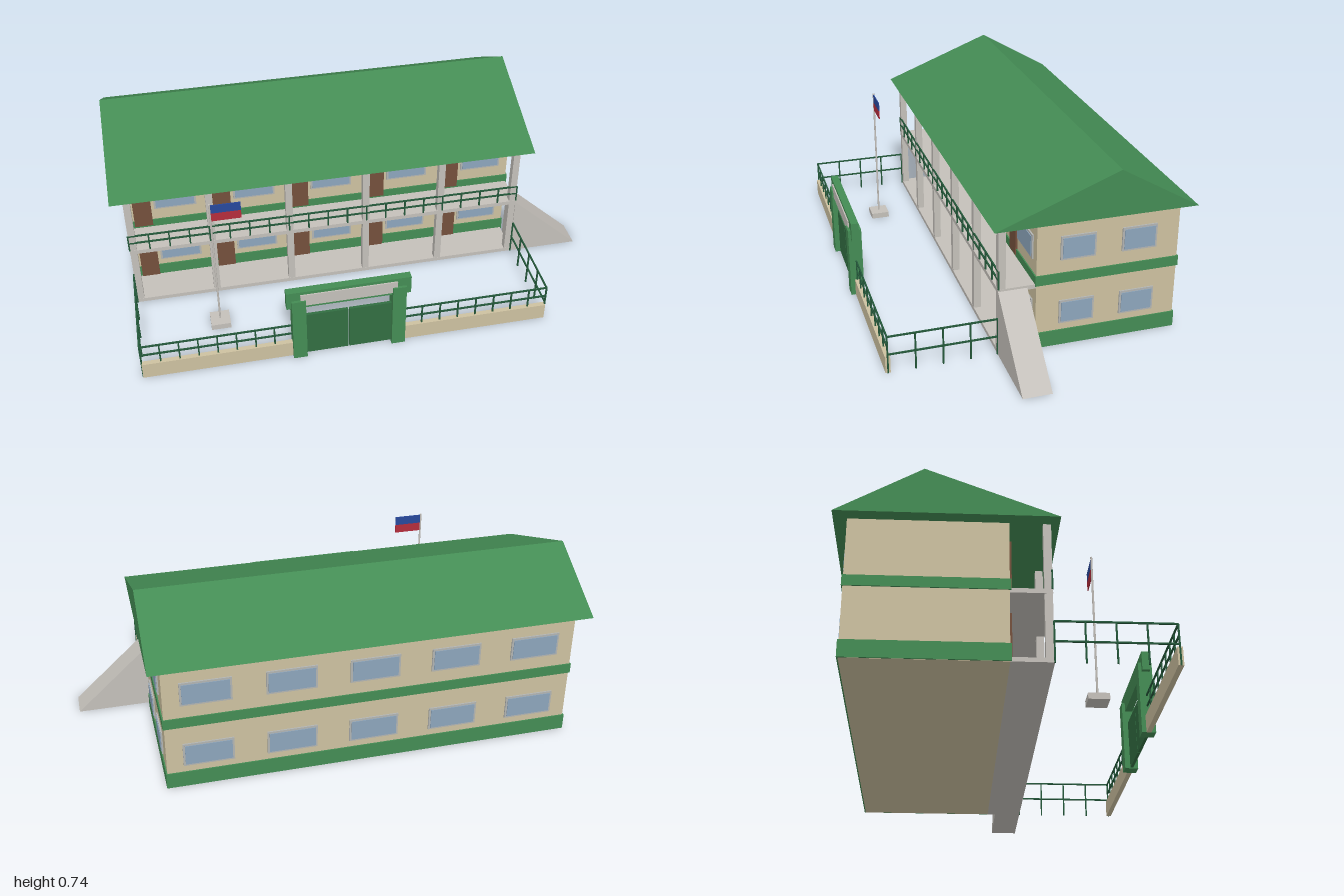
import * as THREE from 'three';

const paint = (name, color) => {
  const m = new THREE.MeshStandardMaterial({ color });
  m.name = name;
  return m;
};
const green = paint('roof green', 0x448c54);
const gateGreen = paint('gate green', 0x326e42);
const railGreen = paint('rail green', 0x24583a);
const cream = paint('cream wall', 0xcdc1a0);
const grey = paint('concrete grey', 0xc4c0ba);
const frameGrey = paint('window frame', 0xb2b4b2);
const glass = paint('window glass', 0x8da5bc);
const brown = paint('door brown', 0x74503c);
const blue = paint('flag blue', 0x28489c);
const red = paint('flag red', 0xb42c3c);

const LEFT = -0.95, RIGHT = 0.7, FRONT = 0.01, BACK = -0.565, BAY = 0.33;

// Box given by its lower and upper limits on each axis
function box(parent, name, mat, x0, x1, y0, y1, z0, z1) {
  const mesh = new THREE.Mesh(new THREE.BoxGeometry(x1 - x0, y1 - y0, z1 - z0), mat);
  mesh.position.set((x0 + x1) / 2, (y0 + y1) / 2, (z0 + z1) / 2);
  mesh.name = name;
  parent.add(mesh);
  return mesh;
}

// Polygon pushed out along +z by depth
function prism(parent, name, mat, points, depth) {
  const shape = new THREE.Shape(points.map(([x, y]) => new THREE.Vector2(x, y)));
  const mesh = new THREE.Mesh(new THREE.ExtrudeGeometry(shape, { depth, bevelEnabled: false }), mat);
  mesh.name = name;
  parent.add(mesh);
  return mesh;
}

function section(parent, name) {
  const g = new THREE.Group();
  g.name = name;
  parent.add(g);
  return g;
}

// Framed window facing +z, then turned to its wall
function windowUnit(parent, w, h, x, y, z, turn) {
  const g = section(parent, 'window');
  box(g, 'windowFrame', frameGrey, -w / 2, w / 2, -h / 2, h / 2, -0.002, 0.006);
  box(g, 'windowGlass', glass, -w / 2 + 0.008, w / 2 - 0.008, -h / 2 + 0.008, h / 2 - 0.008, 0, 0.009);
  g.position.set(x, y, z);
  g.rotation.y = turn;
}

// Railing along x with evenly spaced posts and rails at given heights
function railing(parent, name, length, y0, rails, count) {
  const g = section(parent, name);
  const t = 0.003;
  for (const y of rails) box(g, 'rail', railGreen, 0, length, y - t, y + t, -t, t);
  for (let i = 0; i <= count; i++) {
    const x = (length * i) / count;
    box(g, 'railPost', railGreen, x - t, x + t, y0, rails[0], -t, t);
  }
  return g;
}

function addBuilding(model) {
  const b = section(model, 'building');
  box(b, 'walls', cream, LEFT, RIGHT, 0, 0.55, BACK, FRONT);
  box(b, 'plinth', green, LEFT - 0.005, RIGHT + 0.005, 0.001, 0.067, BACK - 0.005, FRONT + 0.005);
  box(b, 'floorBand', green, LEFT - 0.005, RIGHT + 0.005, 0.275, 0.317, BACK - 0.005, FRONT + 0.005);

  // Doors and windows on both floors
  for (const lift of [0, 0.275]) {
    for (let i = 0; i < 5; i++) {
      const x = LEFT + i * BAY;
      box(b, 'door', brown, x + 0.03, x + 0.105, lift + 0.017, lift + (lift ? 0.216 : 0.2), FRONT - 0.005, FRONT + 0.009);
      windowUnit(b, 0.175, 0.1, x + 0.205, lift + 0.147, FRONT, 0);
      windowUnit(b, 0.2, 0.1, x + BAY / 2, lift + 0.147, BACK, Math.PI);
    }
    for (const z of [-0.154, -0.402]) windowUnit(b, 0.142, 0.1, RIGHT, lift + 0.147, z, Math.PI / 2);
  }

  // Gabled roof with its ridge behind the middle
  const roof = prism(b, 'roof', green, [[-0.19, 0.548], [0.615, 0.548], [0.295, 0.735]], 1.75);
  roof.rotation.y = Math.PI / 2;
  roof.position.x = -1;
}

function addVeranda(model) {
  const v = section(model, 'veranda');
  box(v, 'groundSlab', grey, LEFT, RIGHT, 0, 0.017, FRONT, 0.16);
  box(v, 'balconySlab', grey, LEFT, RIGHT, 0.265, 0.283, FRONT, 0.16);
  for (let i = 0; i < 6; i++) {
    const x = -0.935 + i * 0.324;
    box(v, 'column', grey, x - 0.014, x + 0.014, 0.01, 0.549, 0.13, 0.159);
  }
  railing(v, 'balconyRailing', RIGHT - LEFT, 0.283, [0.358, 0.322], 20).position.set(LEFT, 0, 0.158);
  // Solid ramp up to the balcony
  prism(v, 'ramp', grey, [[RIGHT, 0], [1, 0], [RIGHT, 0.274]], 0.115).position.z = 0.045;
}

function addFence(model) {
  const f = section(model, 'fence');
  for (const [x0, x1, n] of [[LEFT, -0.35, 8], [0.1, RIGHT, 8]]) {
    box(f, 'lowWall', cream, x0, x1, 0, 0.07, 0.577, 0.597);
    railing(f, 'frontRailing', x1 - x0, 0.07, [0.157, 0.113], n).position.set(x0, 0, 0.587);
  }
  for (const x of [LEFT, RIGHT]) {
    const side = railing(f, 'sideRailing', 0.427, 0, [0.157, 0.08], 4);
    side.rotation.y = -Math.PI / 2;
    side.position.set(x, 0, 0.16);
  }
}

function addGate(model) {
  const g = section(model, 'gate');
  for (const x of [-0.355, 0.045]) box(g, 'gatePillar', green, x, x + 0.055, 0, 0.3, 0.56, 0.615);
  box(g, 'gateBeam', green, -0.375, 0.12, 0.26, 0.34, 0.573, 0.604);
  box(g, 'signPanel', grey, -0.32, 0.065, 0.273, 0.327, 0.602, 0.609);
  box(g, 'gateLeaf', gateGreen, -0.3, -0.13, 0.003, 0.207, 0.582, 0.594);
  box(g, 'gateLeaf', gateGreen, -0.125, 0.045, 0.003, 0.207, 0.582, 0.594);
}

function addFlag(model) {
  const f = section(model, 'flagpole');
  box(f, 'flagBase', grey, -0.66, -0.58, 0, 0.025, 0.31, 0.39);
  const pole = new THREE.Mesh(new THREE.CylinderGeometry(0.004, 0.004, 0.6, 10), grey);
  pole.name = 'pole';
  pole.position.set(-0.62, 0.32, 0.35);
  f.add(pole);
  box(f, 'flagUpper', blue, -0.617, -0.5, 0.577, 0.615, 0.348, 0.352);
  box(f, 'flagLower', red, -0.617, -0.5, 0.539, 0.577, 0.348, 0.352);
}

export function createModel() {
  const model = new THREE.Group();
  model.name = 'schoolhouse';
  addBuilding(model);
  addVeranda(model);
  addFence(model);
  addGate(model);
  addFlag(model);
  return model;
}
